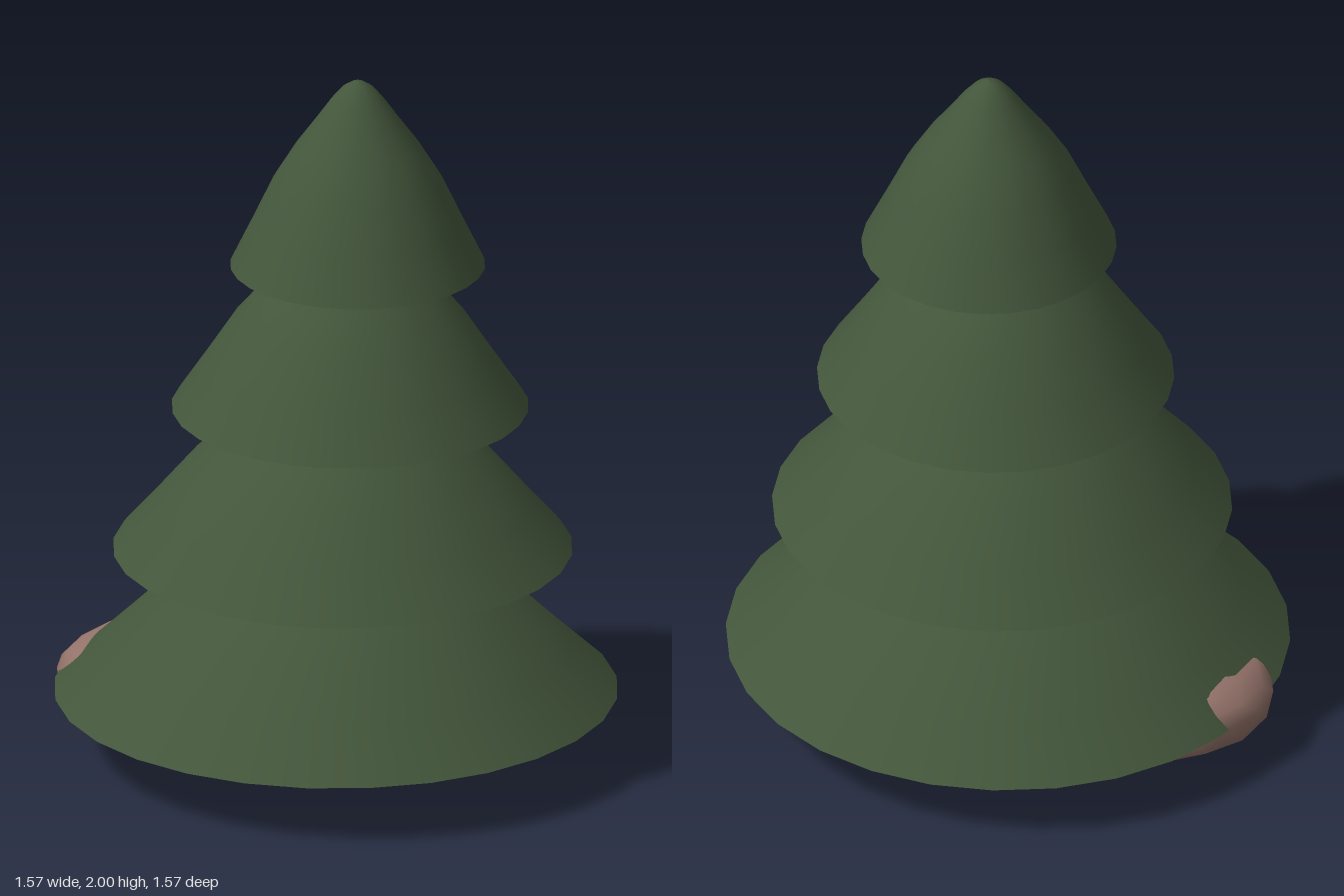
import * as THREE from 'three';
import { mergeVertices } from 'three/addons/utils/BufferGeometryUtils.js';

const green = new THREE.MeshStandardMaterial({ name: 'needle green', color: 0x43563b });
const bark = new THREE.MeshStandardMaterial({ name: 'bark brown', color: 0x65463a, flatShading: true });
const stone = new THREE.MeshStandardMaterial({ name: 'dusty rose stone', color: 0x94736a });

const SIDES = 28;
// Shared tier outline: [fraction of base radius, height above base]
const OUTLINE = [[1, 0], [0.83, 0.125], [0.665, 0.25], [0.5, 0.345], [0.325, 0.43],
  [0.21, 0.488], [0.12, 0.525], [0.05, 0.541], [0, 0.545]];

function mesh(name, geometry, material) {
  const m = new THREE.Mesh(geometry, material);
  m.name = name;
  return m;
}

// One layer of foliage: a bell-shaped cone closed by a flat underside
function makeTier(name, radius, x, y) {
  const tier = new THREE.Group();
  tier.name = name;
  const points = OUTLINE.map(([r, h]) => new THREE.Vector2(r * radius, h));
  const under = new THREE.CircleGeometry(radius, SIDES).rotateX(Math.PI / 2);
  tier.add(mesh('foliage', new THREE.LatheGeometry(points, SIDES), green));
  tier.add(mesh('underside', under, green));
  tier.position.set(x, y, 0);
  return tier;
}

// A lumpy boulder fitted to a box given by two corners; lift raises its -x rim
function makeRock(name, min, max, phase, lift = 0) {
  let g = new THREE.IcosahedronGeometry(1, 2);
  g.deleteAttribute('normal');
  g.deleteAttribute('uv');
  g = mergeVertices(g, 1e-4);
  const p = g.attributes.position;
  const v = new THREE.Vector3();
  for (let i = 0; i < p.count; i++) {
    v.fromBufferAttribute(p, i);
    const bump = Math.sin(3.1 * v.x + phase) * Math.sin(2.7 * v.z + 2 * phase) + 0.5 * Math.sin(5 * v.y + 4 * v.x);
    v.multiplyScalar(1 + 0.05 * bump);
    p.setXYZ(i, v.x, v.y, v.z);
  }
  g.computeBoundingBox();
  const size = g.boundingBox.getSize(new THREE.Vector3());
  const low = g.boundingBox.min;
  for (let i = 0; i < p.count; i++) {
    v.fromBufferAttribute(p, i).sub(low).divide(size);
    const rim = v.x < 0.25 && v.y > 0.5 ? lift : 0;
    p.setXYZ(i, ...['x', 'y', 'z'].map((k, j) => min[j] + v[k] * (max[j] - min[j]) + (j === 1 ? rim : 0)));
  }
  g.computeVertexNormals();
  return mesh(name, g, stone);
}

export function createModel() {
  const tree = new THREE.Group();
  tree.name = 'pineTree';

  // Foliage layers drift sideways with the leaning trunk
  const radii = [0.785, 0.64, 0.497, 0.355];
  const offsets = [0, 0.022, 0.046, 0.071];
  radii.forEach((r, i) => tree.add(makeTier(`foliageTier${i + 1}`, r, offsets[i], 0.18 + i * 0.425)));

  // Faceted, slightly leaning trunk
  const trunk = mesh('trunk', new THREE.CylinderGeometry(0.06, 0.105, 1.3, 7).translate(0, 0.65, 0), bark);
  trunk.position.set(-0.015, 0.035, 0);
  trunk.rotation.z = -0.055;
  tree.add(trunk);

  // Boulders at the foot
  tree.add(makeRock('leftRock', [0.06, 0.005, -0.49], [0.64, 0.31, 0.2], 0.6));
  tree.add(makeRock('rightRock', [-0.787, 0.04, -0.2], [-0.24, 0.255, 0.42], 2.1, 0.03));
  return tree;
}
